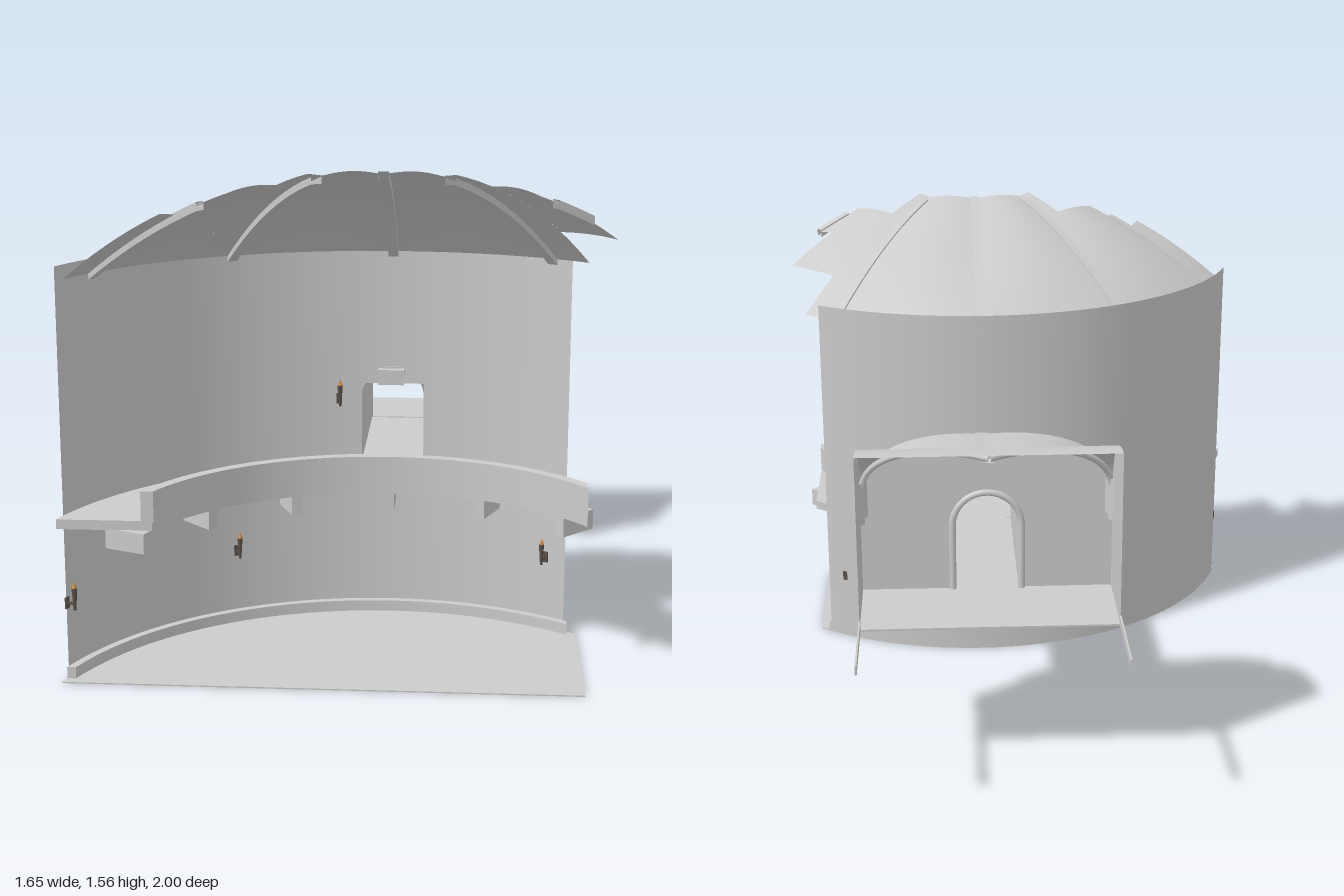
import * as THREE from 'three';
import { toCreasedNormals } from 'three/addons/utils/BufferGeometryUtils.js';

const CX = 0.15, CZ = 1.25, R = 1.02;          // centre and radius of the round room
const MAXX = 0.76, MAXZ = 0.94;                // planes where the room is cut open
const rad = THREE.MathUtils.degToRad;
const grey = new THREE.MeshStandardMaterial({ color: 0xcccccc, side: THREE.DoubleSide });
const iron = new THREE.MeshStandardMaterial({ color: 0x5a5048 });
const fire = new THREE.MeshStandardMaterial({ color: 0xd08a40 });

// Point at angle a (0 = rear, positive towards +x), radius r, height y
const polar = (a, r, y) => new THREE.Vector3(CX + r * Math.sin(a), y, CZ - r * Math.cos(a));

function add(parent, name, geometry, material = grey) {
  const mesh = new THREE.Mesh(geometry, material);
  mesh.name = name;
  parent.add(mesh);
  return mesh;
}

function box(parent, name, w, h, d, x, y, z) {
  const mesh = add(parent, name, new THREE.BoxGeometry(w, h, d));
  mesh.position.set(x, y, z);
  return mesh;
}

// Sheet from a function of u and v, both 0..1
function sheet(fn, nu, nv) {
  const pos = [], index = [];
  for (let j = 0; j <= nv; j++)
    for (let i = 0; i <= nu; i++) pos.push(...fn(i / nu, j / nv).toArray());
  for (let j = 0; j < nv; j++)
    for (let i = 0; i < nu; i++) {
      const a = j * (nu + 1) + i, b = a + nu + 1;
      index.push(a, b, a + 1, a + 1, b, b + 1);
    }
  const g = new THREE.BufferGeometry();
  g.setAttribute('position', new THREE.Float32BufferAttribute(pos, 3));
  g.setIndex(index);
  g.computeVertexNormals();
  return g;
}

// Plan outline (x, z) pushed up from y0 to y1
function slab(points, y0, y1) {
  const shape = new THREE.Shape(points.map(p => new THREE.Vector2(p.x, -p.z)));
  const g = new THREE.ExtrudeGeometry(shape, { depth: y1 - y0, bevelEnabled: false });
  g.rotateX(-Math.PI / 2).translate(0, y0, 0);
  return toCreasedNormals(g, 0.5);
}

// Arc of radius r, ending at the planes x = mx and z = mz
function arc(r, mx = MAXX, mz = MAXZ, n = 48) {
  const a0 = -Math.acos((CZ - mz) / r), a1 = Math.asin((mx - CX) / r);
  return Array.from({ length: n + 1 }, (_, i) => polar(a0 + (a1 - a0) * i / n, r, 0));
}
const ring = (r0, r1, y0, y1, mx, mz) =>
  slab([...arc(r1, mx, mz), ...arc(r0, mx, mz).reverse()], y0, y1);

// Shallow umbrella dome, lowest along the ribs
const domeY = (a, r) =>
  1.59 - 0.345 * r * r + 0.03 * r * Math.abs(Math.sin(6 * a)) * (1 - (r / R) ** 4);

function buildRoom() {
  const room = new THREE.Group();
  room.name = 'roundRoom';
  add(room, 'floor', slab([...arc(R), new THREE.Vector3(MAXX, 0, MAXZ)], 0, 0.004));
  add(room, 'baseTrim', ring(0.995, R, 0, 0.04, 0.73, 0.91));

  // Wall in patches around the doorway: [from, to, bottom, top]
  const door = 5.77;
  for (const [a0, a1, y0, y1] of [[-70, -door, 0, 1.275], [door, 34, 0, 1.275],
    [-door, door, 0, 0.5], [-door, door, 0.79, 1.275]])
    add(room, 'wall', sheet((u, v) =>
      polar(rad(a0 + (a1 - a0) * u), R, y0 + (y1 - y0) * v), Math.ceil((a1 - a0) / 2), 1));
  box(room, 'keystone', 0.085, 0.05, 0.03, 0.145, 0.815, 0.245);
  return room;
}

function buildRoof() {
  const roof = new THREE.Group();
  roof.name = 'brokenRoof';
  // Remaining pieces: [from, to, inner radius, outer radius]
  for (const [a0, a1, r0, r1] of [[-67.6, -60.4, 0.68, R], [-60.4, -37.8, 0.51, R],
    [-37.8, 37.4, 0.34, R], [37.4, 52.4, 0.51, 0.86], [52.4, 60, 0.51, 0.68]])
    add(roof, 'roofShell', sheet((u, v) => {
      const a = rad(a0 + (a1 - a0) * u), r = r0 + (r1 - r0) * v;
      return polar(a, r, domeY(a, r));
    }, Math.ceil(a1 - a0), 12));

  // Square ribs below the shell
  for (const [deg, r0, r1] of [[-60, 0.6, R], [-30, 0.38, R], [0, 0.34, R],
    [30, 0.38, R], [60, 0.56, 0.68]]) {
    const a = rad(deg), side = new THREE.Vector3(Math.cos(a), 0, Math.sin(a));
    const section = [[-1, 0], [1, 0], [1, -1], [-1, -1], [-1, 0]];
    const g = sheet((u, v) => {
      const [s, t] = section[Math.round(u * 4)], r = r0 + (r1 - r0) * v;
      return polar(a, r, domeY(a, r) + 0.008 + t * 0.026).addScaledVector(side, s * 0.016);
    }, 4, 14);
    add(roof, 'roofRib', toCreasedNormals(g, 0.6));
  }
  return roof;
}

function buildBalcony() {
  const balcony = new THREE.Group();
  balcony.name = 'balcony';
  add(balcony, 'balconyFloor', ring(0.75, R, 0.49, 0.52));
  add(balcony, 'parapet', ring(0.745, 0.78, 0.515, 0.612));
  for (const deg of [-67.5, -45, -22.5, 0, 22.5, 45]) {
    const p = polar(rad(deg), 0.82, 0.46);
    const b = box(balcony, 'bracket', 0.035, 0.062, 0.135, p.x, p.y, p.z);
    b.rotation.y = -rad(deg);
  }
  return balcony;
}

function buildTorch(deg, y) {
  const torch = new THREE.Group();
  torch.name = 'torch';
  const a = rad(deg);
  torch.position.copy(polar(a, R, y));
  torch.rotation.y = -a;
  const arm = add(torch, 'torchArm', new THREE.BoxGeometry(0.008, 0.008, 0.03), iron);
  arm.position.set(0, -0.025, 0.015);
  const plate = add(torch, 'torchPlate', new THREE.BoxGeometry(0.018, 0.035, 0.006), iron);
  plate.position.set(0, -0.025, 0.003);
  const stick = add(torch, 'torchStick', new THREE.CylinderGeometry(0.009, 0.004, 0.07, 8), iron);
  stick.position.set(0, -0.01, 0.03);
  const flame = add(torch, 'flame', new THREE.ConeGeometry(0.008, 0.022, 8), fire);
  flame.position.set(0, 0.035, 0.03);
  return torch;
}

function buildPassage() {
  const g = new THREE.Group();
  g.name = 'passage';
  const hw = 0.103, spring = 0.745;
  // Door outline: up one side, over the arch, down the other
  const outline = (bottom, r = hw) => [[CX - r, bottom],
    ...Array.from({ length: 25 }, (_, i) => {
      const t = Math.PI * (1 - i / 24);
      return [CX + r * Math.cos(t), spring + r * Math.sin(t)];
    }), [CX + r, bottom]];
  const path = outline(0.49);
  add(g, 'passageVault', sheet((u, v) => {
    const [x, y] = path[Math.round(u * (path.length - 1))];
    return new THREE.Vector3(x, y, 0.235 - 0.622 * v);
  }, path.length - 1, 1));
  box(g, 'passageFloor', 2 * hw, 0.012, 0.62, CX, 0.514, -0.077);

  // Porch: half of a cross vault, open to the rear
  const halfW = 0.407, depth = 0.305, zIn = -0.387, zOut = zIn - depth, base = 0.52;
  const vaultY = (s, t) => 0.88 + (0.21 - 0.035 * Math.max(0, t - s)) *
    Math.sqrt(Math.max(0, 1 - Math.min(s, t) ** 2));
  add(g, 'porchVault', sheet((u, v) => {
    const s = Math.sin((u - 0.5) * Math.PI), t = Math.sin(v * Math.PI / 2);
    return new THREE.Vector3(CX + halfW * s, vaultY(Math.abs(s), t), zOut + depth * t);
  }, 64, 32));

  const flat = pts => new THREE.ShapeGeometry(
    new THREE.Shape(pts.map(p => new THREE.Vector2(...p))));
  const top = Array.from({ length: 41 }, (_, i) => {
    const s = Math.cos(Math.PI * i / 40);
    return [CX + halfW * s, vaultY(Math.abs(s), 1)];
  });
  add(g, 'porchInnerWall', flat([[CX - halfW, base], ...outline(base),
    [CX + halfW, base], ...top])).position.z = zIn;

  const cheek = Array.from({ length: 25 }, (_, i) => {
    const t = Math.sin(Math.PI / 2 * i / 24);
    return [-(zOut + depth * t), vaultY(1, t)];
  });
  for (const s of [-1, 1]) {
    const x = CX + s * halfW;
    const wall = add(g, 'porchSideWall', flat([[-zIn, base], [-zOut, base], ...cheek]));
    wall.rotation.y = Math.PI / 2;
    wall.position.x = x;
    box(g, 'guideRail', 0.006, 0.03, 0.308, x, 0.537, -0.846);
    // Corner corbel set on the diagonal, with the vault rib above it
    for (const [w, h, y] of [[0.034, 0.12, 0.84], [0.02, 0.03, 0.77]])
      box(g, 'corbel', w, h, w, x, y, zIn).rotation.y = Math.PI / 4;
    const pts = Array.from({ length: 17 }, (_, i) => {
      const k = Math.cos(Math.PI / 2 * i / 16);
      return new THREE.Vector3(CX + s * halfW * k * 0.985, vaultY(k, k) - 0.01,
        zOut + depth * k * 0.985);
    });
    add(g, 'vaultRib', new THREE.TubeGeometry(new THREE.CatmullRomCurve3(pts), 32, 0.01, 8));
  }
  box(g, 'vaultBoss', 0.025, 0.02, 0.015, CX, 1.06, zOut);
  box(g, 'porchFloor', 2 * halfW, 0.006, depth, CX, base, (zIn + zOut) / 2);

  // Moulding around the arched doorway
  const trim = outline(base, 0.112).map(([x, y]) => new THREE.Vector3(x, y, zIn - 0.004));
  add(g, 'doorMoulding', new THREE.TubeGeometry(
    new THREE.CatmullRomCurve3(trim, false, 'centripetal'), 64, 0.011, 8));
  return g;
}

export function createModel() {
  const model = new THREE.Group();
  model.name = 'ruinedTowerRoom';
  model.add(buildRoom(), buildRoof(), buildBalcony(), buildPassage());
  for (const [deg, y] of [[-10, 0.765], [-70, 0.27], [-30, 0.27], [30, 0.27]])
    model.add(buildTorch(deg, y));
  return model;
}
